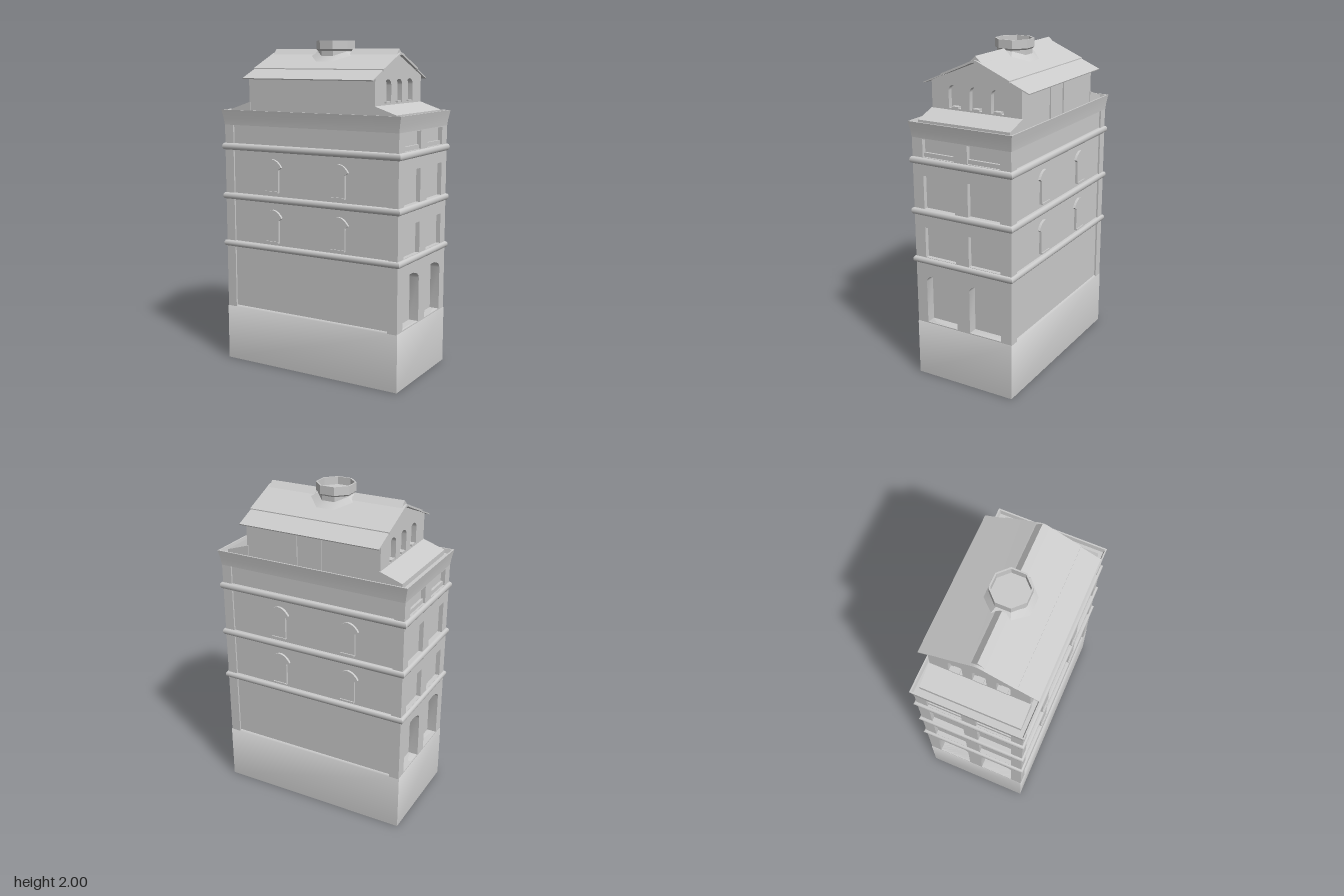
import * as THREE from 'three';
import { toCreasedNormals } from 'three/addons/utils/BufferGeometryUtils.js';

const mat = new THREE.MeshStandardMaterial({ color: 0xcccccc, side: THREE.DoubleSide });

function add(parent, name, geo) {
  const m = new THREE.Mesh(geo, mat);
  m.name = name;
  parent.add(m);
  return m;
}

// Box given by its limits on each axis
function box(parent, name, x0, x1, y0, y1, z0, z1) {
  const g = new THREE.BoxGeometry(x1 - x0, y1 - y0, z1 - z0);
  g.translate((x0 + x1) / 2, (y0 + y1) / 2, (z0 + z1) / 2);
  return add(parent, name, g);
}

// Rectangular band swept through frames [halfX, halfZ, y]
function band(parent, name, frames) {
  const corner = ([x, z, y], i) => [[x, y, z], [x, y, -z], [-x, y, -z], [-x, y, z]][i % 4];
  const p = [];
  for (let f = 0; f < frames.length - 1; f++) {
    for (let i = 0; i < 4; i++) {
      const a = corner(frames[f], i), b = corner(frames[f], i + 1);
      const c = corner(frames[f + 1], i + 1), d = corner(frames[f + 1], i);
      p.push(...a, ...b, ...c, ...a, ...c, ...d);
    }
  }
  const g = new THREE.BufferGeometry();
  g.setAttribute('position', new THREE.Float32BufferAttribute(p, 3));
  g.computeVertexNormals();
  return add(parent, name, toCreasedNormals(g, 0.9));
}

const poly = (pts, Type = THREE.Shape) => new Type(pts.map(p => new THREE.Vector2(...p)));

// Opening with a curved head; rise 0 gives a plain rectangle
function opening(u, halfW, y0, y1, rise, Type = THREE.Path) {
  const pts = [[u - halfW, y0], [u + halfW, y0]];
  const n = rise ? 10 : 1;
  for (let i = 0; i <= n; i++) {
    const a = Math.PI * i / n;
    pts.push([u + halfW * Math.cos(a), y1 - rise + rise * Math.sin(a)]);
  }
  return poly(pts, Type);
}

// Extrude a (z, y) shape along x from x0 to x1
function extrudeX(parent, name, shape, x0, x1) {
  const g = new THREE.ExtrudeGeometry(shape, { depth: x1 - x0, bevelEnabled: false });
  g.rotateY(Math.PI / 2).translate(x0, 0, 0);
  return add(parent, name, toCreasedNormals(g, 0.6));
}

// Narrow end of the building, facing +x
function endFacade() {
  const g = new THREE.Group();
  g.name = 'endFacade';
  const wall = poly([[-0.325, 0.345], [0.325, 0.345], [0.325, 1.53], [-0.325, 1.53]]);
  const floors = [[0.775, 0.96], [1.075, 1.275], [1.385, 1.49]];
  for (const s of [-1, 1]) {
    const z = s * 0.149;
    wall.holes.push(opening(z, 0.106, 0.355, 0.67, 0.05));
    for (const [y0, y1] of floors) {
      wall.holes.push(opening(z, 0.105, y0, y1, 0));
      box(g, 'bayPanel', 0.53, 0.57, y0, y1, z - 0.105, z + 0.105);
    }
    box(g, 'baySill', 0.56, 0.585, 1.38, 1.41, z - 0.105, z + 0.105);
  }
  extrudeX(g, 'endWall', wall, 0.535, 0.597);

  // Penthouse gable with three arched windows
  const gable = poly([[-0.295, 1.56], [0.295, 1.56], [0.295, 1.795], [0, 1.915], [-0.295, 1.795]]);
  for (const z of [-0.14, 0, 0.14]) {
    gable.holes.push(opening(z, 0.041, 1.645, 1.78, 0.035));
    box(g, 'gableSill', 0.39, 0.434, 1.645, 1.656, z - 0.022, z + 0.022);
  }
  extrudeX(g, 'gableWall', gable, 0.385, 0.43);

  // Sloping lean-to roof at the foot of the gable
  const lean = new THREE.ExtrudeGeometry(
    poly([[0.42, 1.56], [0.565, 1.56], [0.565, 1.59], [0.43, 1.635], [0.42, 1.635]]),
    { depth: 0.6, bevelEnabled: false });
  add(g, 'leanToRoof', lean.translate(0, 0, -0.3));
  return g;
}

// Raised windows of a long side facing +z
function longFacade(xs) {
  const g = new THREE.Group();
  g.name = 'longFacade';
  for (const x of xs) for (const y of [0.79, 1.098]) {
    const s = poly([[-0.045, 0], [0.045, 0], [0.045, 0.14], [0.067, 0.155]]);
    s.quadraticCurveTo(0.04, 0.2, 0, 0.203);
    s.quadraticCurveTo(-0.04, 0.2, -0.067, 0.155);
    s.lineTo(-0.045, 0.14);
    const geo = new THREE.ExtrudeGeometry(s, { depth: 0.02, bevelEnabled: false, curveSegments: 5 });
    add(g, 'hoodedWindow', geo.translate(x, y, 0.309));
    box(g, 'windowSill', x - 0.045, x + 0.045, y, y + 0.01, 0.31, 0.336);
  }
  return g;
}

export function createModel() {
  const model = new THREE.Group();
  model.name = 'building';

  // Hollow plinth with a sloping ledge, then the body
  band(model, 'plinth', [[0.6, 0.326, 0], [0.6, 0.326, 0.345], [0.59, 0.314, 0.355], [0.5, 0.3, 0.355]]);
  box(model, 'bodyCore', -0.537, 0.537, 0.35, 1.555, -0.314, 0.314);

  const end = endFacade();
  const otherEnd = endFacade();
  otherEnd.rotation.y = Math.PI;
  const front = longFacade([-0.25, 0.21]);
  const back = longFacade([0.25, -0.21]);
  back.rotation.y = Math.PI;
  model.add(end, otherEnd, front, back);

  // Rounded string courses between floors
  for (const [y0, y1] of [[0.735, 0.773], [1.035, 1.075], [1.342, 1.383]]) {
    const frames = [[0.53, 0.3, y0]];
    for (let i = 0; i <= 6; i++) {
      const a = Math.PI * (i / 6 - 0.5), r = 0.013 * Math.cos(a);
      frames.push([0.6 + r, 0.325 + r, (y0 + y1) / 2 + (y1 - y0) / 2 * Math.sin(a)]);
    }
    frames.push([0.53, 0.3, y1]);
    band(model, 'stringCourse', frames);
  }

  // Flared parapet and the deck behind it
  band(model, 'parapet', [[0.53, 0.3, 1.495], [0.598, 0.326, 1.495], [0.602, 0.329, 1.53],
    [0.613, 0.338, 1.587], [0.604, 0.329, 1.587], [0.598, 0.32, 1.55]]);
  box(model, 'deck', -0.598, 0.598, 1.54, 1.56, -0.322, 0.322);

  // Penthouse
  box(model, 'penthouseCore', -0.4, 0.4, 1.55, 1.79, -0.295, 0.295);
  for (const x of [-0.06, 0.1]) box(model, 'backPilaster', x - 0.01, x + 0.01, 1.56, 1.79, -0.303, -0.29);
  for (const x of [-0.25, 0.25]) box(model, 'eaveBracket', x - 0.02, x + 0.02, 1.76, 1.79, -0.315, -0.29);

  // Two-step gabled roof with a softened ridge
  const upper = [[0.224, 1.838], [0.05, 1.912], [0.02, 1.926], [0, 1.93]];
  const mirror = upper.slice(0, 3).reverse().map(([z, y]) => [-z, y]);
  const outline = [...upper, ...mirror];
  const under = outline.map(([z, y]) => [z, y - 0.012]).reverse();
  extrudeX(model, 'upperRoof', poly([...outline, ...under]), -0.445, 0.445);
  for (const s of [-1, 1]) {
    extrudeX(model, 'eaveRoof', poly([[s * 0.215, 1.836], [s * 0.346, 1.78], [s * 0.344, 1.774],
      [s * 0.215, 1.828]]), -0.442, 0.442);
    // Ridge cap on each side of the chimney
    extrudeX(model, 'ridgeCap', poly([[-0.04, 1.915], [0.04, 1.915], [0, 1.953]]),
      s > 0 ? 0.12 : -0.43, s > 0 ? 0.43 : -0.12);
  }

  // Octagonal chimney: hollow cup on a neck
  const pts = [[0.105, 1.86], [0.105, 1.94], [0.117, 1.95], [0.117, 2], [0.107, 2], [0.107, 1.955], [0, 1.955]];
  const chimney = new THREE.LatheGeometry(pts.map(p => new THREE.Vector2(...p)), 8, Math.PI / 8);
  add(model, 'chimney', toCreasedNormals(chimney, 0.3));

  // Flashing collar that follows the roof slope
  const collar = new THREE.RingGeometry(0.1, 0.145, 8, 1, Math.PI / 8).rotateX(-Math.PI / 2);
  const p = collar.attributes.position;
  for (let i = 0; i < p.count; i++) {
    const inner = Math.hypot(p.getX(i), p.getZ(i)) < 0.12;
    p.setY(i, 1.934 - 0.42 * Math.abs(p.getZ(i)) + (inner ? 0.02 : 0));
  }
  add(model, 'chimneyFlashing', toCreasedNormals(collar, 0.3));

  return model;
}
